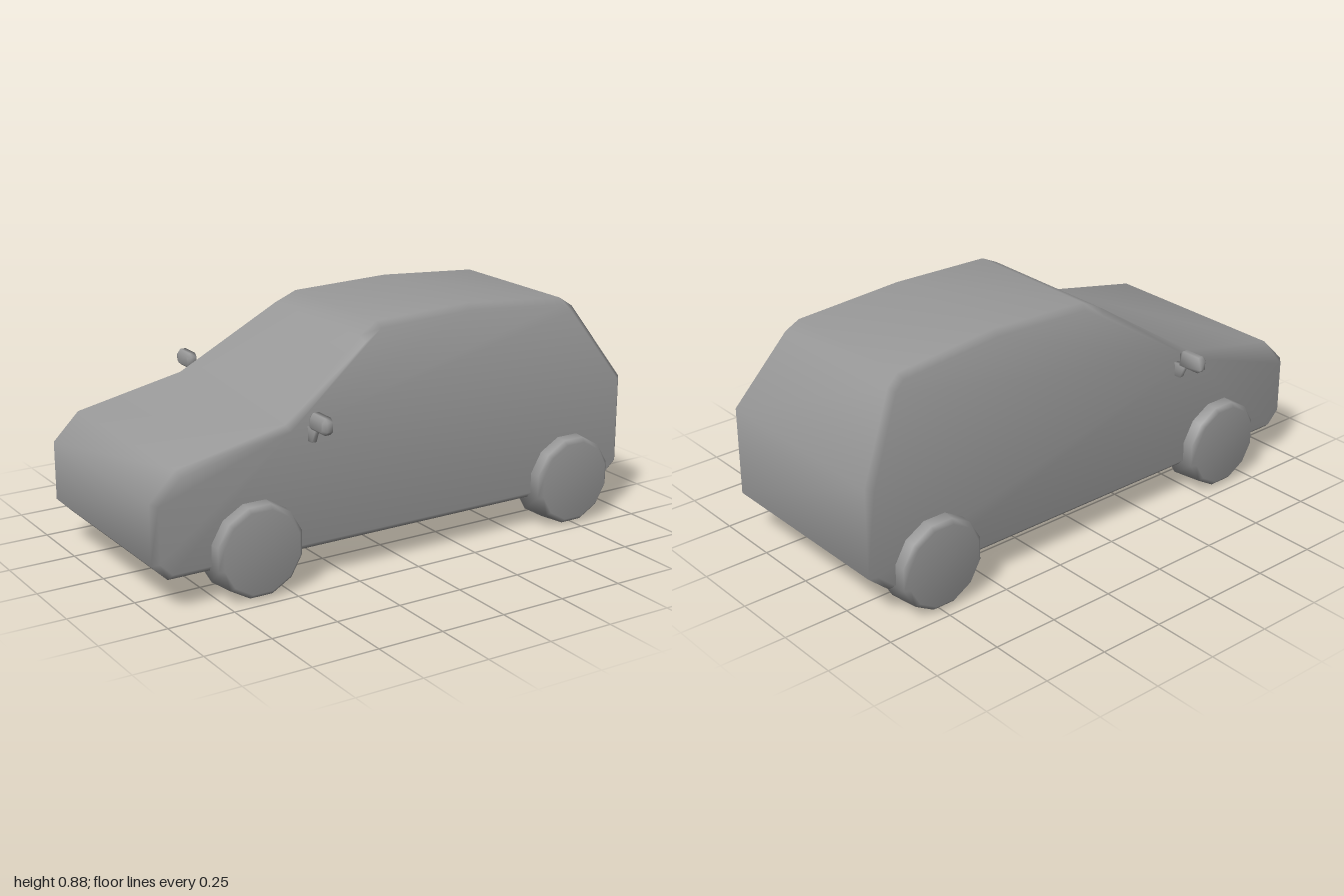
import * as THREE from 'three';
import { mergeVertices } from 'three/addons/utils/BufferGeometryUtils.js';
import { ConvexGeometry } from 'three/addons/geometries/ConvexGeometry.js';

const paint = new THREE.MeshStandardMaterial({ color: 0x999999 });

// Weld the corners so that large faces stay flat and bevels blend smoothly
function smoothMesh(name, geometry) {
  geometry.deleteAttribute('normal');
  geometry.deleteAttribute('uv');
  const welded = mergeVertices(geometry, 1e-4);
  welded.computeVertexNormals();
  const m = new THREE.Mesh(welded, paint);
  m.name = name;
  return m;
}

// Side outline, counter-clockwise from the lower nose (nose at -x)
const outline = [
  [-0.94, 0.12], [0.92, 0.12], [1, 0.19], [1, 0.53],
  [0.83, 0.81], [0.78, 0.845], [0.36, 0.877], [-0.04, 0.865], [-0.12, 0.825],
  [-0.48, 0.585], [-0.9, 0.5], [-1, 0.4], [-1, 0.18],
];
const FRONT_BELT = 9;

// Body half width: straight sides, leaning in above the belt line
const halfWidth = (y) => 0.41 - 0.4 * Math.max(0, y - 0.57);

// Shrink an outline by a constant distance along mitred corners
function inset(points, d) {
  const n = points.length;
  const normal = (a, b) => new THREE.Vector2(a[1] - b[1], b[0] - a[0]).normalize();
  return points.map((p, i) => {
    const n1 = normal(points[(i + n - 1) % n], p);
    const n2 = normal(p, points[(i + 1) % n]);
    const k = d / (1 + n1.dot(n2));
    return [p[0] + (n1.x + n2.x) * k, p[1] + (n1.y + n2.y) * k];
  });
}

function bodyGeometry() {
  const bevel = 0.023;
  const inner = inset(outline, bevel);
  const n = outline.length;
  const position = [], index = [];
  // Four rings across the car: side, bevel edge, bevel edge, side
  const addRing = (pts, sign, drop) => pts.forEach(([x, y], i) =>
    position.push(x, y, sign * (halfWidth(inner[i][1]) - drop)));
  addRing(inner, 1, 0);
  addRing(outline, 1, bevel);
  addRing(outline, -1, bevel);
  addRing(inner, -1, 0);
  for (let r = 0; r < 3; r++) {
    for (let i = 0; i < n; i++) {
      const j = (i + 1) % n, a = r * n, b = a + n;
      index.push(a + i, b + i, b + j, a + i, b + j, a + j);
    }
  }
  // Side panels, lower and upper, fanned from the front belt corner
  for (let i = 0; i < n; i++) {
    const j = (i + 1) % n;
    if (i === FRONT_BELT || j === FRONT_BELT) continue;
    index.push(FRONT_BELT, i, j);
    index.push(3 * n + FRONT_BELT, 3 * n + j, 3 * n + i);
  }
  const g = new THREE.BufferGeometry();
  g.setAttribute('position', new THREE.Float32BufferAttribute(position, 3));
  g.setIndex(index);
  return g;
}

// Twelve-sided wheel with a tapered tread and a bevelled outer rim
function wheelGeometry() {
  const profile = [[0, 0.33], [0.18, 0.33], [0.169, 0.45], [0.152, 0.465], [0, 0.465]]
    .map(([r, h]) => new THREE.Vector2(r, h));
  return new THREE.LatheGeometry(profile, 12).rotateY(Math.PI / 12).rotateX(Math.PI / 2);
}

// Door mirror outlines as (z, y)
const headOutline = [
  [0.435, 0.57], [0.525, 0.57], [0.541, 0.585], [0.541, 0.618],
  [0.527, 0.631], [0.449, 0.631], [0.435, 0.617],
];
const stemOutline = [[0.4, 0.52], [0.436, 0.52], [0.46, 0.575], [0.4, 0.572]];

// Convex solid through outlines placed at stations along x
function solid(side, stations) {
  return new ConvexGeometry(stations.flatMap(([x, points]) =>
    points.map(([z, y]) => new THREE.Vector3(x, y, z * side))));
}

export function createModel() {
  const car = new THREE.Group();
  car.name = 'car';
  car.add(smoothMesh('body', bodyGeometry()));

  for (const side of [1, -1]) {
    const label = side > 0 ? 'Near' : 'Far';
    // Wheels
    for (const [end, x] of [['front', -0.618], ['rear', 0.738]]) {
      const wheel = smoothMesh(`${end}Wheel${label}`, wheelGeometry());
      wheel.position.set(x, 0.175, 0);
      wheel.rotation.y = side > 0 ? 0 : Math.PI;
      car.add(wheel);
    }
    // Door mirror: flat glass side to the rear, rounded shell to the nose
    const mirror = new THREE.Group();
    mirror.name = `doorMirror${label}`;
    mirror.add(
      smoothMesh('mirrorHead', solid(side, [
        [-0.385, headOutline], [-0.407, headOutline], [-0.42, inset(headOutline, 0.012)],
      ])),
      smoothMesh('mirrorStem', solid(side, [[-0.386, stemOutline], [-0.404, stemOutline]])),
    );
    car.add(mirror);
  }
  return car;
}
